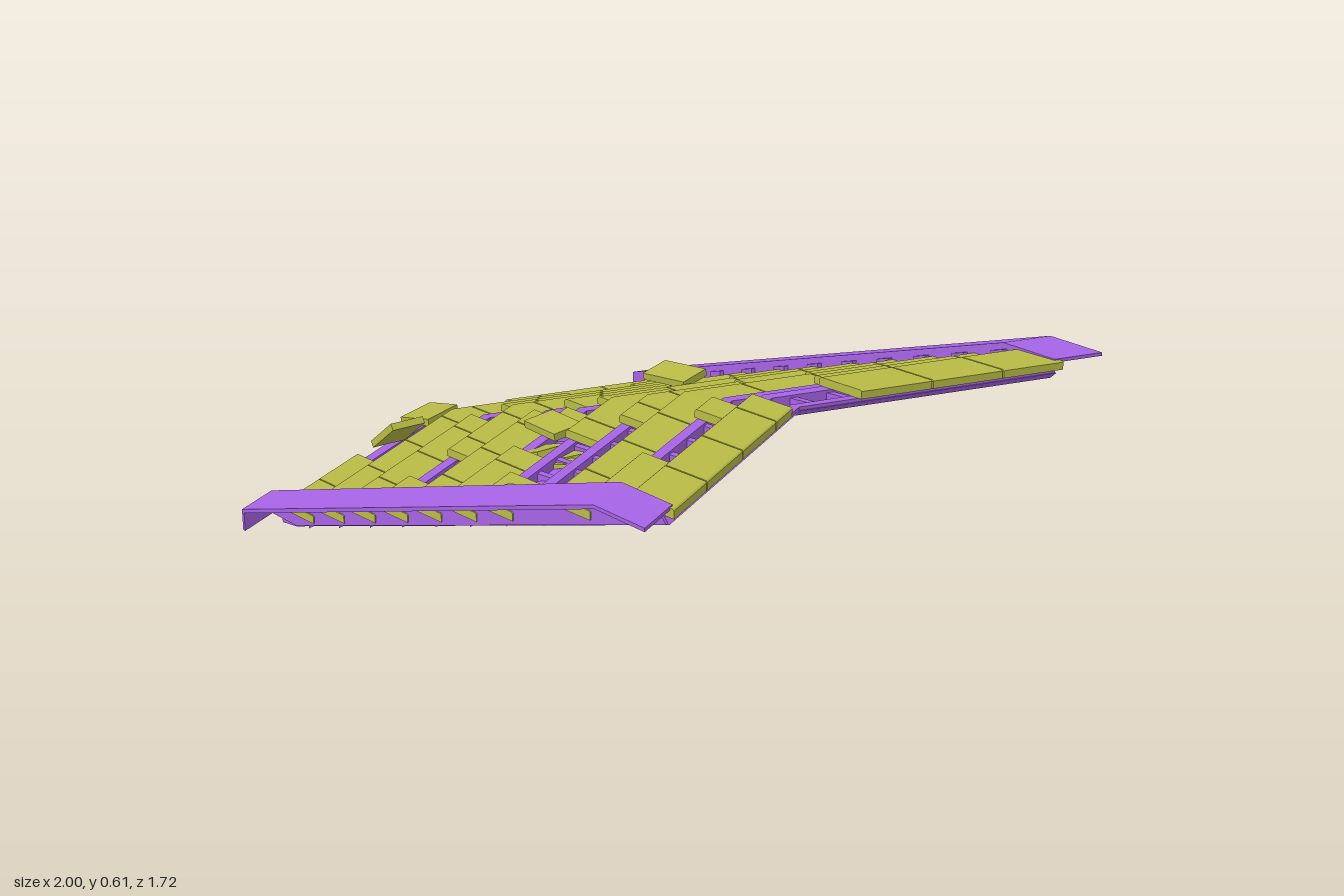
import * as THREE from 'three';

const SKEW = 0.39;   // both wings sweep towards +x away from the hip
const EDGE = 0.72;   // half width of the tiled area
const COURSES = 11, STEP = 0.15, RISE = 0.052;

const purple = new THREE.MeshStandardMaterial({ color: 0xa764e6, side: THREE.DoubleSide });
const yellow = new THREE.MeshStandardMaterial({ color: 0xb8bb45 });

// Prism of a (u, y) profile between two z values, sheared to the swept plan.
function swept(profile, z0, z1) {
  const shape = new THREE.Shape(profile.map(([u, y]) => new THREE.Vector2(u, y)));
  const geo = new THREE.ExtrudeGeometry(shape, { depth: z1 - z0, bevelEnabled: false });
  geo.translate(0, 0, z0);
  const p = geo.attributes.position;
  for (let i = 0; i < p.count; i++) p.setX(i, p.getX(i) + SKEW * Math.abs(p.getZ(i)));
  geo.computeVertexNormals();
  return geo;
}

function add(parent, name, geo, mat) {
  const mesh = new THREE.Mesh(geo, mat);
  mesh.name = name;
  parent.add(mesh);
  return mesh;
}

// Mirrored pair of prisms, one on each wing.
function pair(parent, name, profile, z0, z1, mat) {
  add(parent, name + 'Left', swept(profile, z0, z1), mat);
  add(parent, name + 'Right', swept(profile, -z1, -z0), mat);
}

// Missing tiles: [course, from z, to z]
const holes = [
  [0, -0.26, 0.36], [1, -0.56, -0.36], [2, -0.72, -0.56], [2, -0.06, 0.06],
  [3, 0.36, 0.56], [4, -0.56, -0.36], [4, -0.06, 0.06], [5, -0.06, 0.06],
  [5, 0.16, 0.36], [6, -0.36, -0.16], [6, 0.26, 0.56], [7, -0.46, -0.26],
  [7, 0.16, 0.72], [9, -0.26, 0.06], [9, 0.16, 0.46], [10, -0.16, 0.06],
];

// Loose tiles: [x, y, z, length x, length z, turn about y, tilt about z, tilt about x]
const loose = [
  [-0.9, 0.1, 0.03, 0.11, 0.15, 0.25, 0.15, 0],
  [-0.8, 0.125, 0.23, 0.17, 0.11, -0.15, 0.65, 0],
  [-0.19, 0.335, -0.36, 0.17, 0.1, 0.05, 0.1, 0.15],
  [0.27, 0.42, -0.38, 0.1, 0.16, -0.6, 0.2, 0.1],
  [-0.11, 0.345, 0.19, 0.15, 0.1, -0.1, 0.05, 0.1],
  [-0.05, 0.31, 0.29, 0.14, 0.11, -0.1, 0.35, 0],
  [0.09, 0.34, 0.29, 0.07, 0.09, -0.2, 0.2, 0],
  [0.15, 0.35, 0.35, 0.09, 0.06, 0.1, 0.25, 0],
  [0.32, 0.415, 0.68, 0.14, 0.055, -0.05, 0.1, 0],
];

export function createModel() {
  const model = new THREE.Group();
  model.name = 'roofSection';

  // Sloping deck with a thick lower fascia
  pair(model, 'deck', [
    [-1, 0], [-0.93, 0.01], [0.65, 0.55], [0.67, 0.57], [0.63, 0.565], [-0.93, 0.03], [-1, 0.03],
  ], 0, EDGE, purple);

  // Stepped battens, joists and tiles of every course
  for (let k = 0; k < COURSES; k++) {
    const u = -0.98 + STEP * k, y = 0.055 + RISE * k;
    const course = new THREE.Group();
    course.name = 'course' + (k + 1);
    model.add(course);

    // Riser batten below the lower edge of the tiles
    pair(course, 'batten', [
      [u + 0.012, y - 0.05], [u + 0.045, y - 0.04], [u + 0.045, y], [u + 0.012, y],
    ].map(([a, b]) => [a, Math.max(b, 0.01)]), 0, EDGE, purple);
    pair(course, 'upperBatten', [
      [u + 0.115, y - 0.03], [u + 0.145, y - 0.01], [u + 0.145, y + 0.004], [u + 0.115, y + 0.002],
    ], 0, EDGE, purple);

    // Short joists framing the recessed cells
    for (let z = 0.06; z < 0.7; z += 0.1)
      pair(course, 'joist', [
        [u + 0.04, y - 0.038], [u + 0.13, y - 0.015], [u + 0.13, y], [u + 0.04, y - 0.008],
      ], z - 0.01, z + 0.01, purple);

    // Tiles, with staggered joints
    const gaps = holes.filter((h) => h[0] === k);
    const joints = k % 2 ? [0.06, 0.26, 0.46, 0.66] : [0.16, 0.36, 0.56];
    const cuts = [0, EDGE, -EDGE, ...joints, ...joints.map((j) => -j), ...gaps.flatMap((h) => [h[1], h[2]])];
    const sorted = [...new Set(cuts)].sort((a, b) => a - b);
    const profile = [
      [u, y], [u + 0.155, y + 0.004], [u + 0.155, y + 0.026], [u + 0.15, y + 0.029],
      [u + 0.008, y + 0.025], [u, y + 0.018],
    ];
    for (let i = 0; i < sorted.length - 1; i++) {
      const a = sorted[i], b = sorted[i + 1], mid = (a + b) / 2;
      if (gaps.some((h) => mid > h[1] && mid < h[2])) continue;
      // outer tiles poke a little way through the side walls
      const trim = (z, s) => (z === 0 ? 0 : Math.abs(z) === EDGE ? z - s * 0.014 : z + s * 0.002);
      add(course, 'tile', swept(profile, trim(a, 1), trim(b, -1)), yellow);
    }
  }

  // Side rails: thin sloping plate with a dropped foot and a level head
  pair(model, 'railPlate', [
    [-1.05, 0.02], [-1.05, 0.085], [0.48, 0.607], [0.66, 0.607], [0.66, 0.597],
    [0.484, 0.597], [-1.04, 0.076], [-1.04, 0.02],
  ], EDGE, 0.86, purple);
  // Inner wall of each rail
  pair(model, 'railWall', [
    [-1.045, 0.02], [-0.92, 0.02], [0.645, 0.553], [0.6, 0.6], [0.48, 0.6], [-1.045, 0.08],
  ], EDGE, 0.73, purple);
  // Small cleats along the top of the wall
  for (let i = 0; i < 11; i++) {
    const u = -0.95 + i * 0.14, y = 0.105 + i * 0.0477;
    pair(model, 'railCleat', [[u, y - 0.025], [u + 0.045, y - 0.01], [u + 0.045, y + 0.01], [u, y - 0.005]],
      0.708, EDGE, purple);
  }

  // Displaced and broken tiles lying on the slope
  for (const [x, y, z, lx, lz, turn, tilt, roll] of loose) {
    const tile = add(model, 'looseTile', new THREE.BoxGeometry(lx, 0.022, lz), yellow);
    tile.position.set(x, y, z);
    tile.rotation.set(roll, turn, tilt, 'YZX');
  }
  return model;
}
